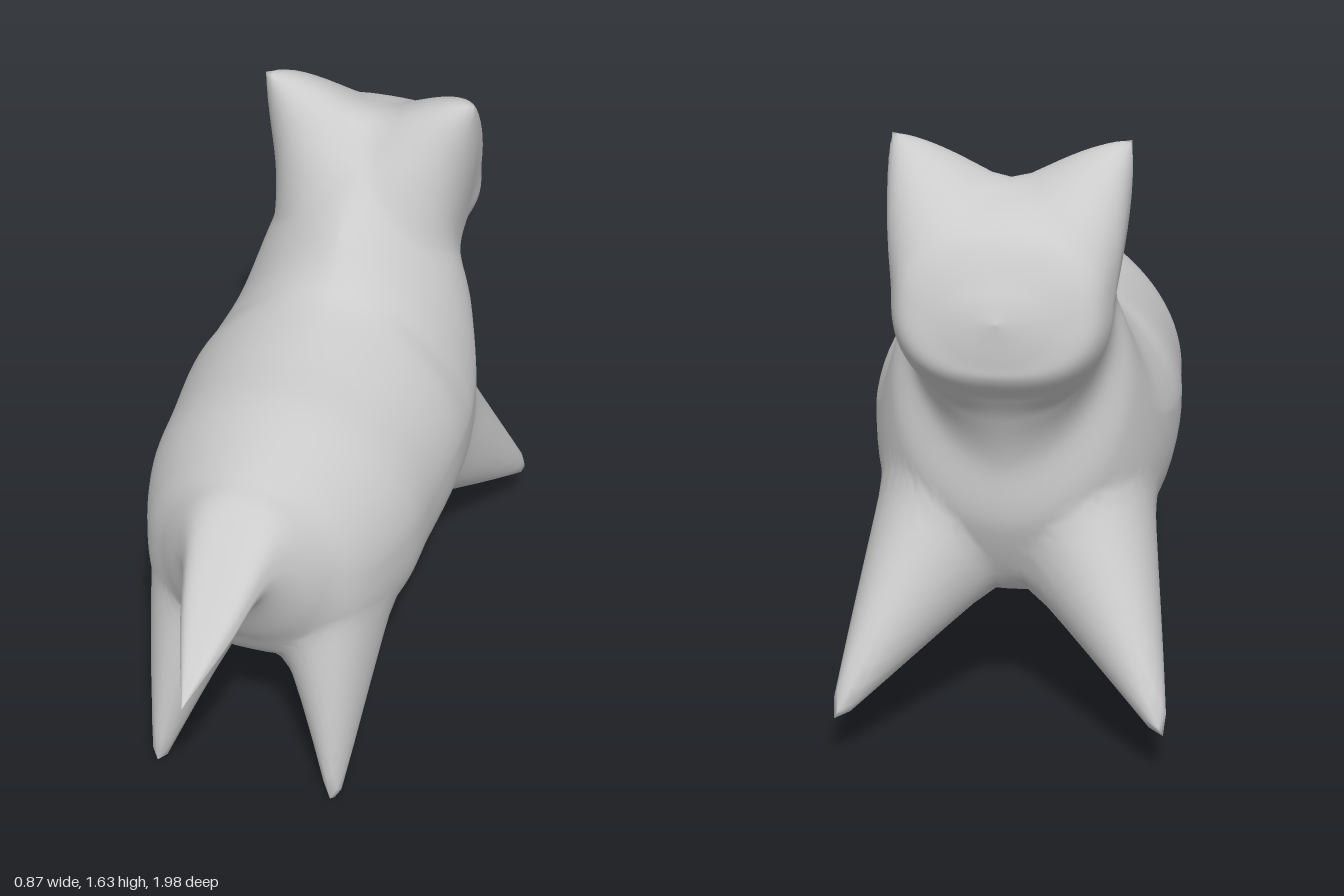
import * as THREE from 'three';

const SIDES = 80, STEPS = 140;

// Stations from tail tip to face:
// [halfWidth, topY, topZ, bottomY, bottomZ, upper roundness, lower roundness]
const STATIONS = [
  [0.00, 0.70, 1.00, 0.70, 1.00, 0.6, 1.0],
  [0.07, 0.86, 0.78, 0.74, 0.84, 0.6, 1.1],
  [0.13, 1.01, 0.57, 0.77, 0.67, 0.75, 1.0],
  [0.23, 1.05, 0.46, 0.57, 0.53, 1.0, 0.9],
  [0.32, 1.08, 0.35, 0.42, 0.41, 1.05, 0.75],
  [0.385, 1.12, 0.18, 0.37, 0.18, 1.05, 0.75],
  [0.40, 1.14, 0.00, 0.38, 0.00, 1.05, 0.8],
  [0.415, 1.18, -0.20, 0.40, -0.20, 1.15, 0.8],
  [0.405, 1.23, -0.28, 0.38, -0.43, 1.3, 0.8],
  [0.37, 1.31, -0.36, 0.40, -0.66, 1.3, 0.85],
  [0.32, 1.38, -0.44, 0.62, -0.79, 1.15, 1.0],
  [0.27, 1.46, -0.52, 0.82, -0.81, 0.95, 1.15],
  [0.27, 1.54, -0.63, 0.96, -0.86, 0.7, 1.0],
  [0.28, 1.53, -0.76, 1.04, -0.91, 0.7, 0.85],
  [0.24, 1.47, -0.88, 1.11, -0.965, 0.8, 0.8],
  [0.13, 1.35, -0.95, 1.16, -0.975, 0.9, 0.9],
  [0.00, 1.27, -0.98, 1.27, -0.98, 1, 1],
];

// Points drawn out of the body skin: where they start, tip, radii in x y z, bluntness
const PULLS = [
  { from: [0.23, 0.42, 0.31], tip: [0.265, 0.01, 0.505], r: [0.15, 0.26, 0.23], blunt: 1.15 },  // hind legs
  { from: [0.27, 0.44, -0.64], tip: [0.43, 0.15, -0.97], r: [0.2, 0.27, 0.27], blunt: 1.08 },   // forelegs
  { from: [0.25, 1.46, -0.62], tip: [0.305, 1.645, -0.62], r: [0.21, 0.26, 0.25], blunt: 1.0 }, // ears
];

const power = (v, e) => Math.sign(v) * Math.abs(v) ** e;
const curve = (x, y, z) => new THREE.CatmullRomCurve3(
  STATIONS.map(s => new THREE.Vector3(s[x], s[y], s[z])), false, 'catmullrom');

function loftPoints() {
  const top = curve(0, 1, 2), bottom = curve(0, 3, 4), round = curve(0, 5, 6);
  const points = [];
  for (let i = 0; i <= STEPS; i++) {
    const a = top.getPoint(i / STEPS), b = bottom.getPoint(i / STEPS), e = round.getPoint(i / STEPS);
    for (let j = 0; j < SIDES; j++) {
      const angle = (j / SIDES) * Math.PI * 2;
      const roundness = Math.cos(angle) > 0 ? e.y : e.z;
      const c = power(Math.cos(angle), roundness), s = power(Math.sin(angle), roundness);
      points.push(new THREE.Vector3(
        Math.max(a.x, 0) * s,
        (a.y + b.y) / 2 + c * (a.y - b.y) / 2,
        (a.z + b.z) / 2 + c * (a.z - b.z) / 2));
    }
  }
  return points;
}

// Draw a cone of skin from the nearest surface point out to the tip
function pull(points, { from, tip, r, blunt }, side) {
  const start = new THREE.Vector3(from[0] * side, from[1], from[2]);
  const anchor = points.reduce((best, p) =>
    p.distanceToSquared(start) < best.distanceToSquared(start) ? p : best).clone();
  const move = new THREE.Vector3(tip[0] * side, tip[1], tip[2]).sub(anchor);
  const radii = new THREE.Vector3(...r);
  for (const p of points) {
    const d = p.clone().sub(anchor).divide(radii).length();
    if (d < 1) p.addScaledVector(move, Math.min(1, blunt * (1 - d) ** 1.2));
  }
}

function skinGeometry() {
  const points = loftPoints();
  for (const p of PULLS) for (const side of [-1, 1]) pull(points, p, side);
  const index = [];
  for (let i = 0; i < STEPS; i++) {
    for (let j = 0; j < SIDES; j++) {
      const k = (j + 1) % SIDES;
      const a = i * SIDES + j, b = i * SIDES + k, c = a + SIDES, d = b + SIDES;
      index.push(a, b, c, b, d, c);
    }
  }
  const geometry = new THREE.BufferGeometry().setFromPoints(points);
  geometry.setIndex(index);
  geometry.computeVertexNormals();
  return geometry;
}

export function createModel() {
  const group = new THREE.Group();
  group.name = 'animal';
  // One continuous skin: tail, torso, neck, head, legs and ears
  const body = new THREE.Mesh(skinGeometry(),
    new THREE.MeshStandardMaterial({ color: 0xcccccc, side: THREE.DoubleSide }));
  body.name = 'body';
  group.add(body);
  return group;
}
